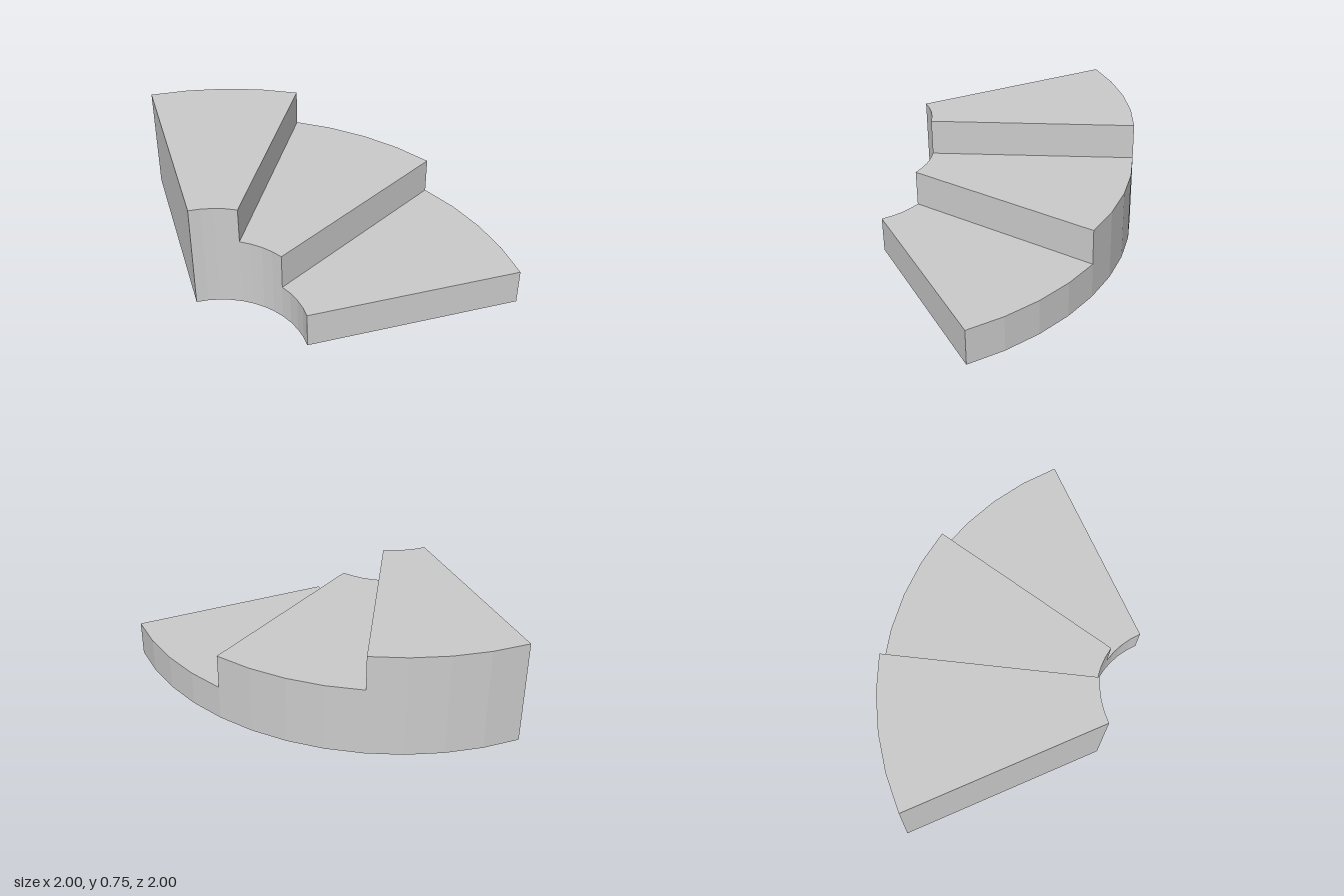
import * as THREE from 'three';

const STEPS = 3, SEGMENTS = 4;          // treads, facets per tread
const INNER = 0.585, OUTER = 2, RISE = 0.25;
const SWEEP = Math.PI / 2 / STEPS;

// Ring sector between two angles, as a faceted outline
function sectorShape(start, end) {
  const arc = (radius, from, to) => Array.from({ length: SEGMENTS + 1 }, (_, i) => {
    const a = from + (to - from) * i / SEGMENTS;
    return new THREE.Vector2(radius * Math.cos(a), radius * Math.sin(a));
  });
  return new THREE.Shape([...arc(OUTER, start, end), ...arc(INNER, end, start)]);
}

export function createModel() {
  const group = new THREE.Group();
  group.name = 'curvedStairs';
  const material = new THREE.MeshStandardMaterial({ color: 0xcccccc, flatShading: true });

  // Each solid step is one rise taller than the one before it
  for (let i = 0; i < STEPS; i++) {
    const geometry = new THREE.ExtrudeGeometry(sectorShape(i * SWEEP, (i + 1) * SWEEP), {
      depth: RISE * (i + 1), bevelEnabled: false,
    });
    geometry.rotateX(-Math.PI / 2);
    geometry.translate(-1, 0, 1);       // turning centre at the front right corner
    const step = new THREE.Mesh(geometry, material);
    step.name = `step${i + 1}`;
    group.add(step);
  }
  return group;
}
